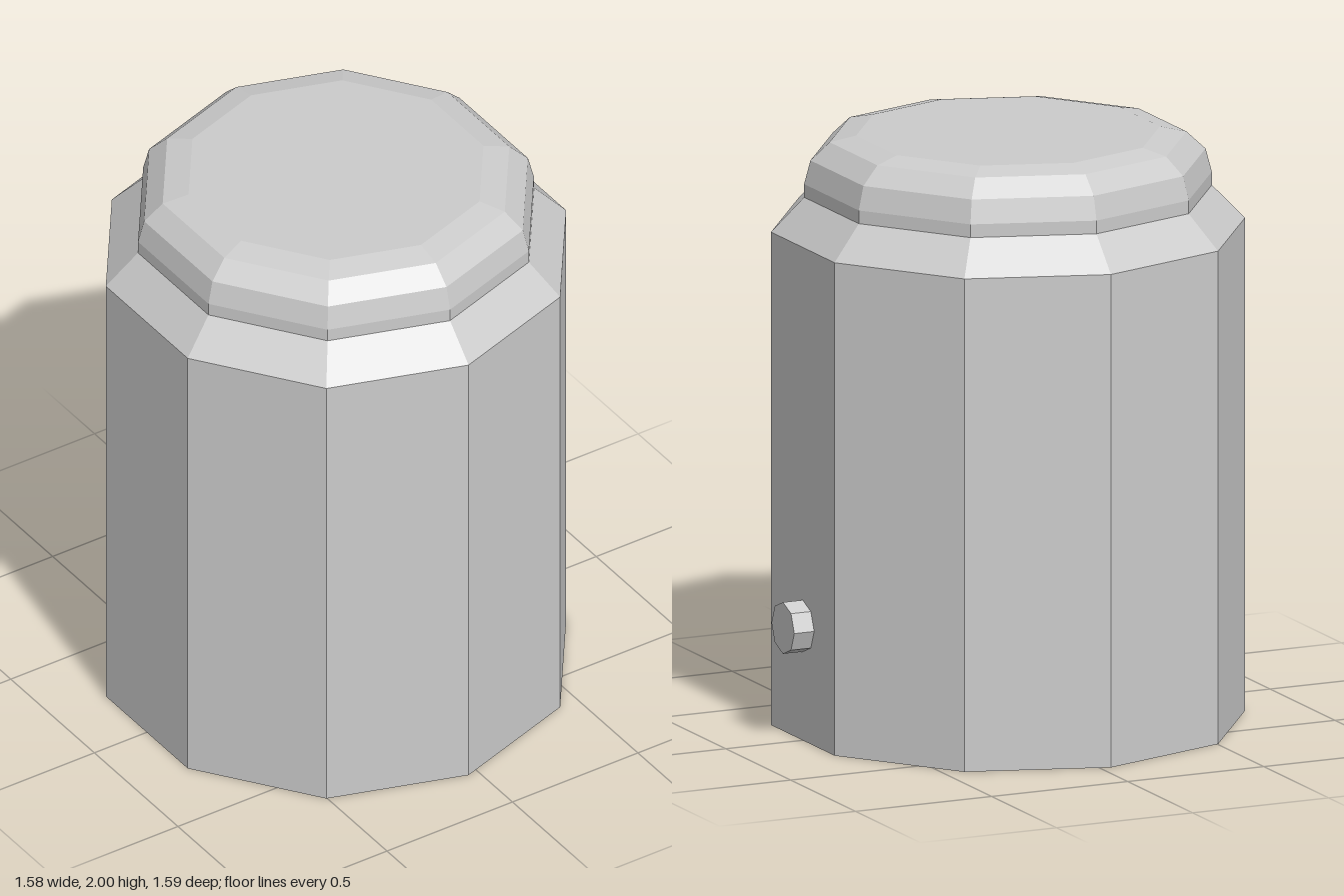
import * as THREE from 'three';

const SIDES = 10;
const AXIS_X = -0.037; // the tank sits slightly off centre because of the spigot

export function createModel() {
  const group = new THREE.Group();
  const material = new THREE.MeshStandardMaterial({ color: 0xcccccc, flatShading: true });

  const add = (name, geometry, x, y) => {
    const mesh = new THREE.Mesh(geometry, material);
    mesh.name = name;
    mesh.position.set(x, y, 0);
    group.add(mesh);
    return mesh;
  };
  // Ten-sided turned part from [radius, height] pairs, bottom to top
  const turned = (profile) =>
    new THREE.LatheGeometry(profile.map(([r, y]) => new THREE.Vector2(r, y)), SIDES);

  // Tank with sloping shoulder
  add('tankBody', turned([[0, 0], [0.793, 0], [0.793, 1.68], [0.682, 1.795]]), AXIS_X, 0);

  // Lid with rounded rim
  add('lid', turned([
    [0.682, 1.795], [0.682, 1.84], [0.661, 1.92], [0.597, 1.98], [0.508, 2], [0, 2],
  ]), AXIS_X, 0);

  // Short octagonal spigot on the left side
  const spigot = add('spigot', new THREE.CylinderGeometry(0.088, 0.088, 0.08, 8), 0.75, 0.39);
  spigot.rotation.z = -Math.PI / 2;

  return group;
}
